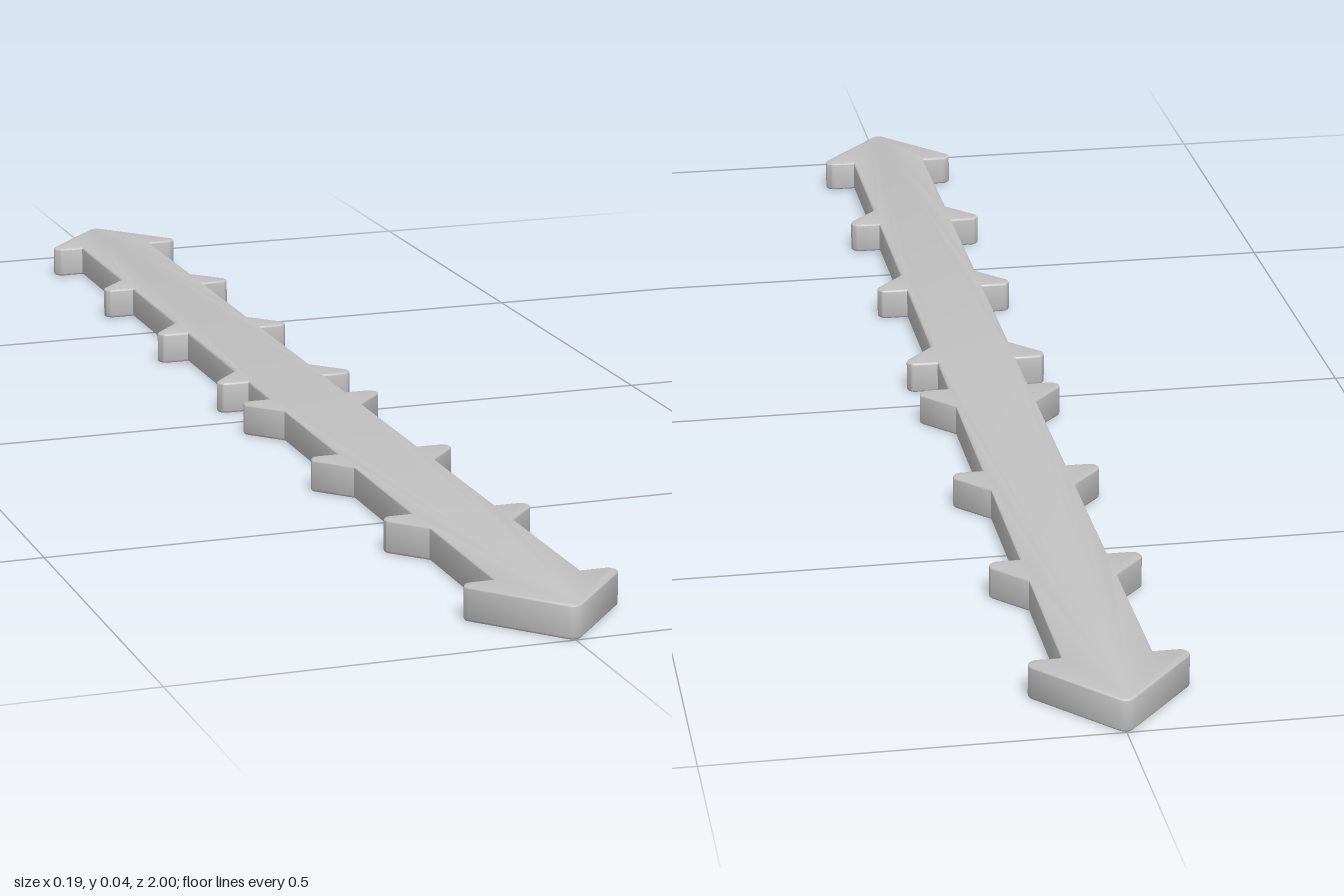
import * as THREE from 'three';
import { toCreasedNormals } from 'three/addons/utils/BufferGeometryUtils.js';

const HEIGHT = 0.043, BEVEL = 0.003, RADIUS = 0.012;
const SHAFT = 0.055, BARB = 0.112; // half widths, BARB before rounding

// Closed shape from [x, y, round] corners, counter-clockwise, rounding the flagged ones
function roundedShape(corners) {
  const shape = new THREE.Shape();
  const n = corners.length;
  const vec = (i) => new THREE.Vector2(corners[(i + n) % n][0], corners[(i + n) % n][1]);
  corners.forEach(([x, y, round], i) => {
    if (!round) {
      if (i === 0) shape.moveTo(x, y);
      else shape.lineTo(x, y);
      return;
    }
    const p = vec(i);
    const a = vec(i - 1).sub(p).normalize();
    const b = vec(i + 1).sub(p).normalize();
    const half = Math.acos(a.dot(b)) / 2;
    const centre = a.clone().add(b).normalize().multiplyScalar(RADIUS / Math.sin(half)).add(p);
    const reach = RADIUS / Math.tan(half);
    const start = a.multiplyScalar(reach).add(p).sub(centre).angle();
    const end = b.multiplyScalar(reach).add(p).sub(centre).angle();
    shape.absarc(centre.x, centre.y, RADIUS, start, end, false);
  });
  shape.closePath();
  return shape;
}

export function createModel() {
  const model = new THREE.Group();
  const grey = new THREE.MeshStandardMaterial({ color: 0xc0c0c0 });
  grey.name = 'light grey';

  // One quarter of the outline: three barbs, then the arrow head
  const quarter = [];
  for (const z of [0.047, 0.327, 0.603]) {
    quarter.push([SHAFT, z, false], [BARB, z, true], [SHAFT, z + 0.061, false]);
  }
  quarter.push([SHAFT, 0.88, false], [BARB, 0.88, true]);

  // Mirror end to end, then turn half round for the other side
  const mirrored = quarter.map(([x, y, r]) => [x, -y, r]).reverse();
  const side = [...mirrored, ...quarter, [0, 1.006, true]];
  const outline = [...side, ...side.map(([x, y, r]) => [-x, -y, r])];
  outline.unshift([SHAFT, 0, false]);
  // Begin at a plain corner on the shaft's middle, keeping the winding order
  const first = outline.shift();
  const at = mirrored.length;
  const loop = [first, ...outline.slice(at), ...outline.slice(0, at)];

  // Flat bar with softened edges
  const geometry = new THREE.ExtrudeGeometry(roundedShape(loop), {
    depth: HEIGHT - 2 * BEVEL,
    bevelEnabled: true,
    bevelThickness: BEVEL,
    bevelSize: BEVEL,
    bevelOffset: -BEVEL,
    bevelSegments: 3,
    curveSegments: 8,
  });
  geometry.rotateX(-Math.PI / 2);
  geometry.translate(0, BEVEL, 0);

  const bar = new THREE.Mesh(toCreasedNormals(geometry, 0.7), grey);
  bar.name = 'barbedDoubleArrow';
  model.add(bar);
  return model;
}
